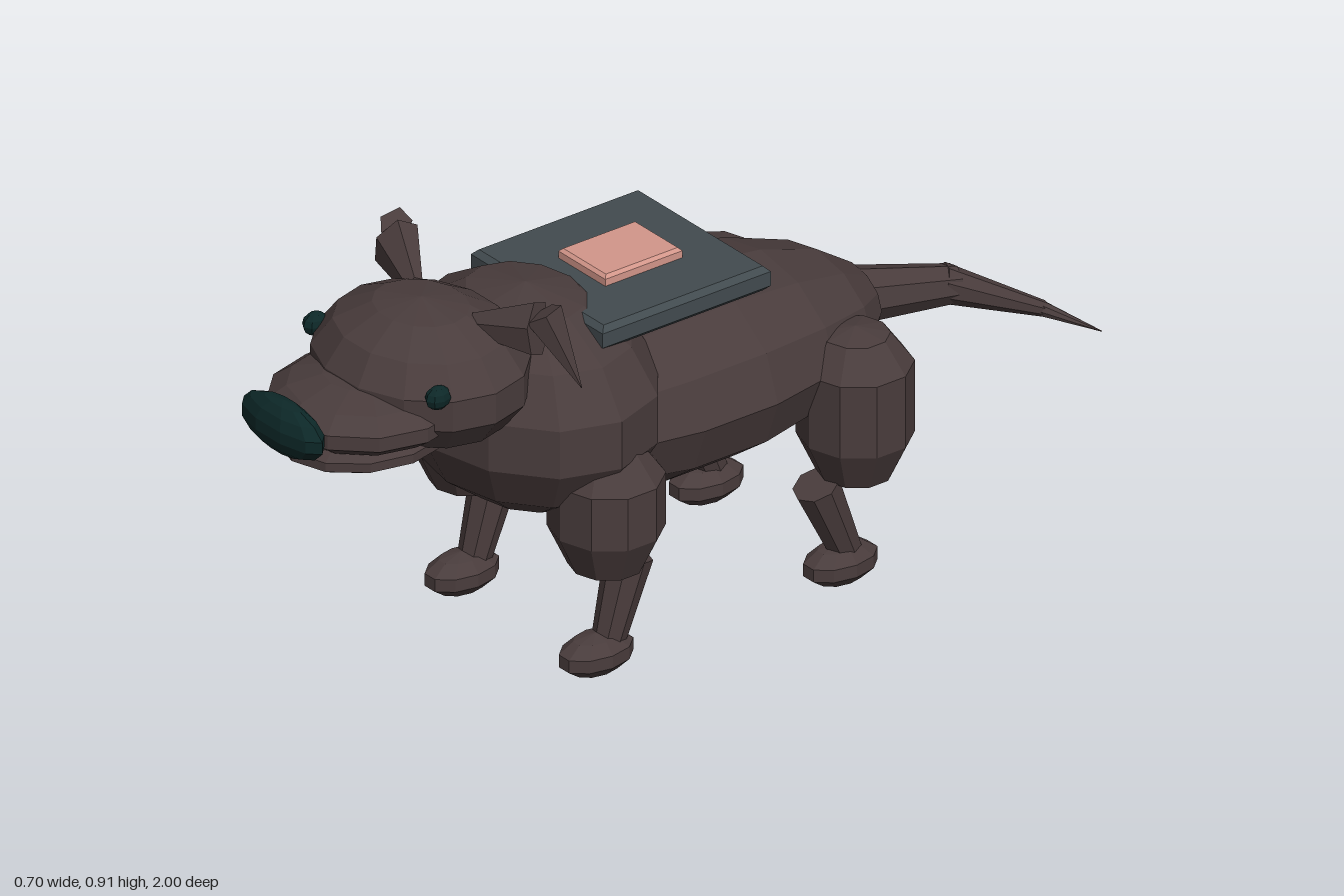
import * as THREE from 'three';

const mat = (name, color) => {
  const m = new THREE.MeshStandardMaterial({ color });
  m.name = name;
  return m;
};

// Gives every facet its own normal for the low-poly look
function faceted(geometry) {
  const g = geometry.index ? geometry.toNonIndexed() : geometry;
  g.computeVertexNormals();
  return g;
}

export function createModel() {
  const model = new THREE.Group();
  model.name = 'dog';
  const fur = mat('dark brown fur', 0x493c3c);
  const dark = mat('dark teal', 0x0d2828);
  const slate = mat('slate', 0x424b4f);
  const pink = mat('salmon', 0xd3968a);

  function add(name, geometry, material) {
    const mesh = new THREE.Mesh(faceted(geometry), material);
    mesh.name = name;
    model.add(mesh);
    return mesh;
  }

  // Low-poly ellipsoid: centre, radii, segments; lengthwise puts the poles on z
  function blob(name, material, [x, y, z], [rx, ry, rz], w = 12, h = 7, lengthwise = false) {
    const g = new THREE.SphereGeometry(1, w, h);
    if (lengthwise) g.rotateX(Math.PI / 2);
    g.scale(rx, ry, rz).translate(x, y, z);
    return add(name, g, material);
  }

  // Tapered round limb between two points
  function limb(name, from, to, r0, r1, sides = 8, flat = 1) {
    const a = new THREE.Vector3(...from), b = new THREE.Vector3(...to);
    const dir = b.clone().sub(a);
    const g = new THREE.CylinderGeometry(r1, r0, dir.length(), sides);
    g.scale(1, 1, flat);
    g.applyQuaternion(new THREE.Quaternion().setFromUnitVectors(
      new THREE.Vector3(0, 1, 0), dir.clone().normalize()));
    g.translate(...a.add(b).multiplyScalar(0.5).toArray());
    return add(name, g, fur);
  }

  // Thin plate with chamfered edges, lying flat; y is its underside
  function plate(name, material, w, d, h, bevel, y, z) {
    const s = new THREE.Shape();
    const a = w / 2 - bevel, b = d / 2 - bevel;
    s.moveTo(-a, -b).lineTo(a, -b).lineTo(a, b).lineTo(-a, b).closePath();
    const g = new THREE.ExtrudeGeometry(s, {
      depth: h - 2 * bevel, bevelThickness: bevel, bevelSize: bevel, bevelSegments: 1,
    });
    g.rotateX(-Math.PI / 2).translate(0, y + bevel, z);
    return add(name, g, material);
  }

  // Torso
  blob('body', fur, [0, 0.505, -0.01], [0.287, 0.208, 0.54], 12, 9, true);
  blob('chest', fur, [0, 0.57, 0.33], [0.328, 0.245, 0.26]);

  // Head
  blob('head', fur, [0, 0.715, 0.6], [0.255, 0.155, 0.217], 14, 7);
  blob('muzzle', fur, [0, 0.68, 0.74], [0.208, 0.072, 0.215]);
  blob('lowerJaw', fur, [0, 0.61, 0.745], [0.165, 0.046, 0.195]);
  blob('nose', dark, [0, 0.69, 0.957], [0.133, 0.06, 0.043], 10, 7);

  // Tail
  limb('tailBase', [0.01, 0.515, -0.48], [0.05, 0.475, -0.74], 0.065, 0.042);
  limb('tailMiddle', [0.045, 0.485, -0.71], [0.125, 0.39, -0.915], 0.043, 0.017);
  limb('tailTip', [0.124, 0.392, -0.91], [0.21, 0.345, -1], 0.017, 0.001);

  // Thigh profiles, bottom to top
  const thigh = (top) => [
    [0, 0.215], [0.082, 0.25], [0.126, 0.34], [0.126, top - 0.08], [0.075, top - 0.015], [0, top],
  ].map(([r, y]) => new THREE.Vector2(r, y));

  for (const [side, s] of [['left', 1], ['right', -1]]) {
    blob(side + 'Eye', dark, [s * 0.203, 0.76, 0.715], [0.023, 0.026, 0.03], 8, 6);

    // Folded ear: broad base and hanging tip
    limb(side + 'EarBase', [s * 0.1, 0.83, 0.54], [s * 0.235, 0.855, 0.48], 0.025, 0.062, 6, 0.75);
    limb(side + 'EarTip', [s * 0.245, 0.893, 0.475], [s * 0.315, 0.735, 0.43], 0.042, 0.001, 5, 0.8);

    // Legs: thigh, shank and foot
    for (const [end, z, top, kneeZ, ankleZ, footZ] of [
      ['Front', 0.3, 0.54, 0.235, 0.29, 0.32],
      ['Hind', -0.345, 0.585, -0.25, -0.33, -0.313],
    ]) {
      const g = new THREE.LatheGeometry(thigh(top), 10);
      g.scale(1, 1, 0.95).translate(s * 0.23, 0, z);
      add(side + end + 'Thigh', g, fur);
      limb(side + end + 'Shank', [s * 0.222, 0.245, kneeZ], [s * 0.222, 0.06, ankleZ], 0.051, 0.035);
      blob(side + end + 'Foot', fur, [s * 0.222, 0.046, footZ], [0.058, 0.046, 0.092], 10, 5);
    }
  }

  // Pack on the back
  plate('backSlab', slate, 0.436, 0.436, 0.057, 0.012, 0.73, 0.082);
  plate('slabPatch', pink, 0.155, 0.2, 0.03, 0.007, 0.78, 0.083);

  return model;
}
